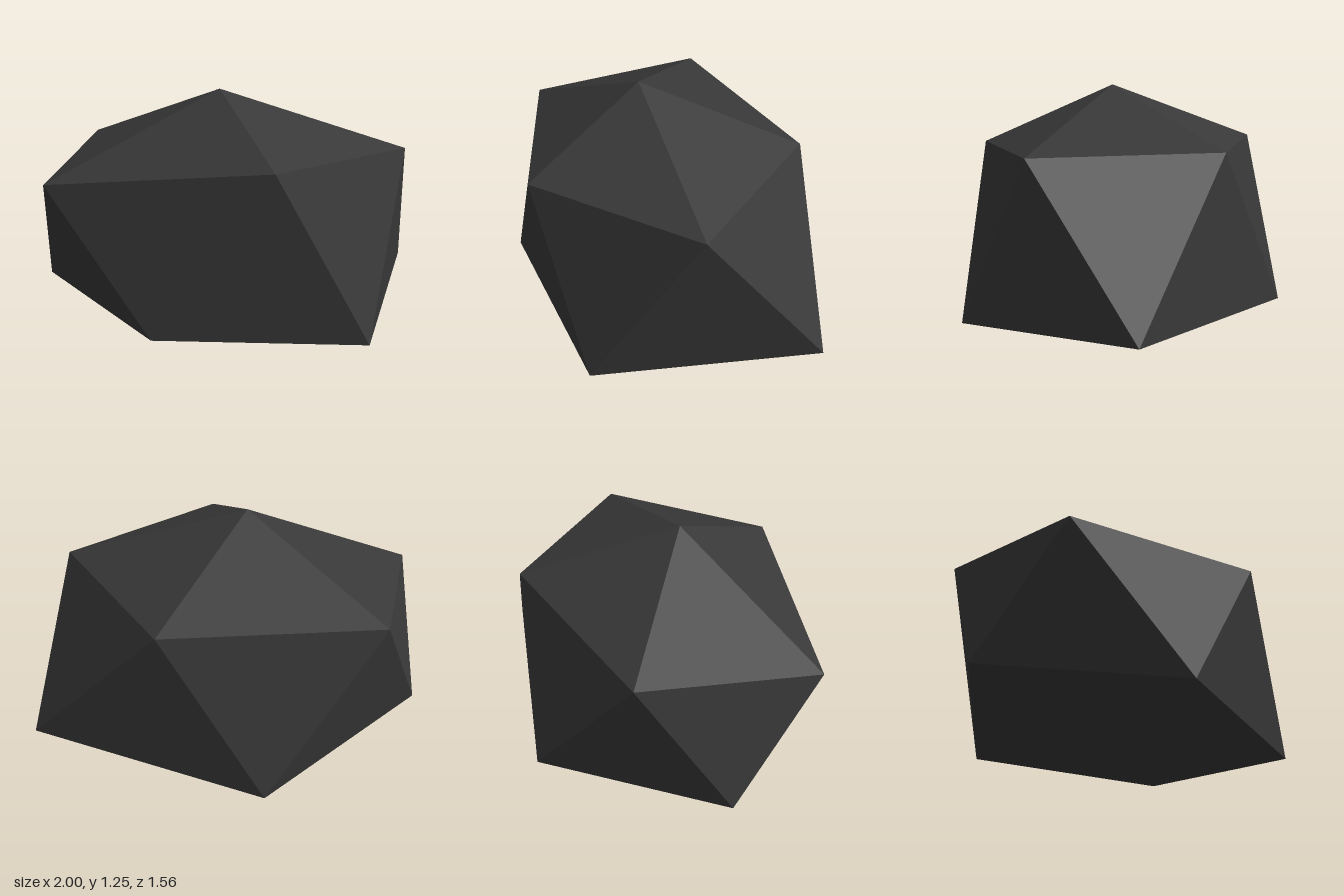
import * as THREE from 'three';

export function createModel() {
  const group = new THREE.Group();
  group.name = 'rock';

  const darkStone = new THREE.MeshStandardMaterial({ color: 0x383838 });
  darkStone.name = 'dark stone';

  // An uneven twenty-sided stone: peak, two staggered rings of five, base point
  const peak = [-0.04, 1.25, 0.11];
  const upper = [
    [0.27, 0.94, 0.74], [0.93, 0.94, 0.04], [0.27, 0.94, -0.67],
    [-0.81, 0.94, -0.4], [-0.87, 0.82, 0.53],
  ];
  const lower = [
    [0.74, 0.05, 0.57], [1, 0.17, -0.57], [-0.28, 0.1, -0.78],
    [-1, 0.2, -0.04 + 0.08], [-0.31, 0.13, 0.78],
  ].map(([x, y, z]) => [x, y, z]);
  const base = [-0.03, 0, 0.04];

  // Unshared corners keep every facet flat
  const corners = [];
  const face = (a, b, c) => corners.push(...a, ...b, ...c);
  for (let i = 0; i < 5; i++) {
    const j = (i + 1) % 5;
    face(peak, upper[i], upper[j]); // cap
    face(upper[i], lower[i], upper[j]); // sides
    face(lower[i], lower[j], upper[j]);
    face(base, lower[j], lower[i]); // underside
  }

  const geometry = new THREE.BufferGeometry();
  geometry.setAttribute('position', new THREE.Float32BufferAttribute(corners, 3));
  geometry.computeVertexNormals();

  const stone = new THREE.Mesh(geometry, darkStone);
  stone.name = 'stone';
  group.add(stone);
  return group;
}
